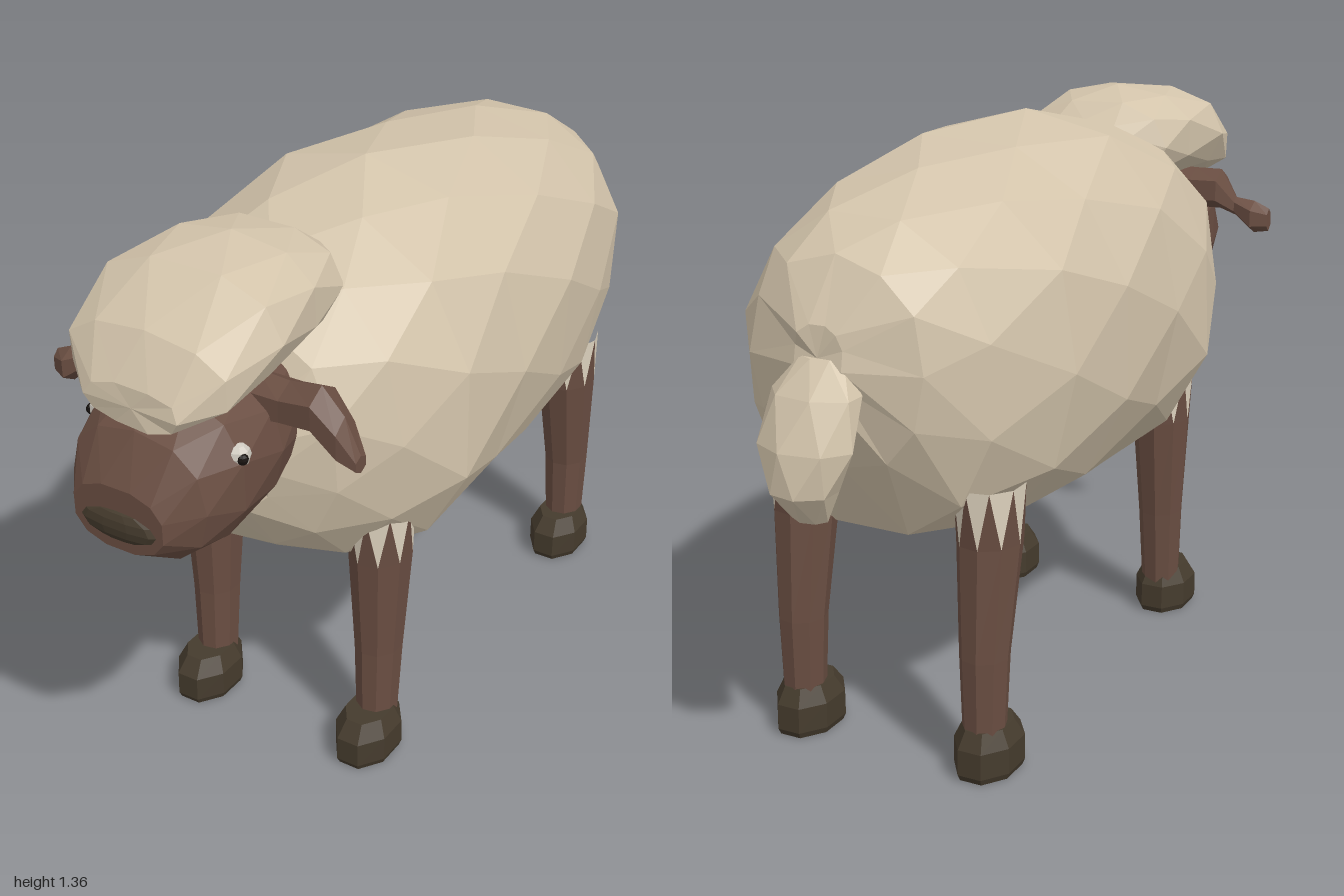
import * as THREE from 'three';

const paint = (name, color) => {
  const m = new THREE.MeshStandardMaterial({ color, flatShading: true });
  m.name = name;
  return m;
};

// Skin elliptical rings [z, cx, cy, rx, ry] along +z; power < 1 squares the rings,
// stagger turns every second ring by half a step, jitter roughens the radii.
function loft(rings, n, { power = 1, stagger = false, jitter = 0, caps = true } = {}) {
  let seed = 7;
  const rand = () => (seed = (seed * 16807) % 2147483647) / 2147483647 - 0.5;
  const soft = v => Math.sign(v) * Math.pow(Math.abs(v), power);
  const pts = rings.map(([z, cx, cy, rx, ry], i) =>
    Array.from({ length: n }, (_, j) => {
      const a = ((j + (stagger && i % 2 ? 0.5 : 0)) / n) * Math.PI * 2 + Math.PI / n;
      const k = 1 + rand() * jitter;
      return [cx + rx * k * soft(Math.cos(a)), cy + ry * k * soft(Math.sin(a)), z + rand() * jitter * 0.5];
    }));
  const out = [];
  const tri = (...p) => p.forEach(q => out.push(...q));
  for (let i = 0; i < rings.length - 1; i++) {
    const lo = pts[i], hi = pts[i + 1];
    for (let j = 0; j < n; j++) {
      const k = (j + 1) % n;
      if (stagger && i % 2 === 0) {
        tri(lo[j], lo[k], hi[j]);
        tri(lo[k], hi[k], hi[j]);
      } else {
        tri(lo[j], lo[k], hi[k]);
        tri(lo[j], hi[k], hi[j]);
      }
    }
  }
  if (caps) {
    const last = rings.length - 1;
    const mid = r => [r[1], r[2], r[0]];
    for (let j = 0; j < n; j++) {
      const k = (j + 1) % n;
      tri(mid(rings[0]), pts[0][k], pts[0][j]);
      tri(mid(rings[last]), pts[last][j], pts[last][k]);
    }
  }
  const g = new THREE.BufferGeometry();
  g.setAttribute('position', new THREE.Float32BufferAttribute(out, 3));
  g.computeVertexNormals();
  return g;
}

// Upright loft: rings [y, x, z, rx, rz]
const upright = (rings, n, opts) =>
  loft(rings.map(([y, x, z, rx, rz]) => [y, x, -z, rx, rz]), n, opts).rotateX(-Math.PI / 2);

// Sideways loft: rings [distance from middle, z, y, rz, ry]
const sideways = (rings, n, side) =>
  loft(rings.map(([x, z, y, rz, ry]) => [x, -side * z, y, rz, ry]), n).rotateY(side * Math.PI / 2);

export function createModel() {
  const wool = paint('wool', 0xd3c4ab);
  const skin = paint('brown skin', 0x6a4e42);
  const hoofMat = paint('dark hoof', 0x453b2d);
  const fringe = paint('pale fringe', 0xdacfbb);
  const eyeWhite = paint('eye white', 0xcfcac0);
  const pupilMat = paint('pupil', 0x17120f);

  const model = new THREE.Group();
  model.name = 'sheep';
  const add = (name, geometry, material, parent = model) => {
    const m = new THREE.Mesh(geometry, material);
    m.name = name;
    parent.add(m);
    return m;
  };

  // Woolly body, rump to chest
  add('body', loft([
    [-0.87, 0, 0.98, 0.06, 0.07],
    [-0.80, 0, 0.95, 0.21, 0.225],
    [-0.68, 0, 0.895, 0.305, 0.35],
    [-0.47, -0.01, 0.89, 0.38, 0.41],
    [-0.22, 0, 0.90, 0.405, 0.44],
    [0.05, 0, 0.91, 0.41, 0.455],
    [0.27, 0, 0.88, 0.405, 0.44],
    [0.44, -0.01, 0.89, 0.345, 0.375],
    [0.57, 0, 0.89, 0.25, 0.285],
    [0.65, 0, 0.87, 0.13, 0.13],
  ], 12, { power: 0.9, stagger: true, jitter: 0.04 }), wool);

  // Wool cap on the head
  add('woolCap', loft([
    [0.365, -0.01, 1.23, 0.13, 0.06],
    [0.42, -0.02, 1.225, 0.19, 0.11],
    [0.55, -0.02, 1.235, 0.215, 0.125],
    [0.71, -0.02, 1.225, 0.235, 0.12],
    [0.85, -0.02, 1.17, 0.205, 0.09],
    [0.92, -0.01, 1.12, 0.12, 0.045],
  ], 10, { power: 0.85, stagger: true, jitter: 0.03 }), wool);

  // Short hanging tail
  add('tail', upright([
    [0.65, 0, -0.91, 0.04, 0.03],
    [0.72, 0, -0.935, 0.075, 0.065],
    [0.81, 0, -0.92, 0.11, 0.07],
    [0.91, 0, -0.88, 0.105, 0.06],
    [0.98, 0, -0.85, 0.05, 0.03],
  ], 7, { stagger: true }), wool);

  // Head, mouth, eyes and ears
  const head = new THREE.Group();
  head.name = 'head';
  model.add(head);
  add('face', loft([
    [0.55, 0, 0.99, 0.16, 0.14],
    [0.70, 0, 0.975, 0.20, 0.165],
    [0.83, 0, 0.955, 0.20, 0.175],
    [0.92, -0.005, 0.925, 0.17, 0.145],
    [0.985, -0.01, 0.895, 0.115, 0.075],
  ], 12, { power: 0.85, stagger: true }), skin, head);
  const mouth = add('mouth', new THREE.SphereGeometry(1, 10, 6), hoofMat, head);
  mouth.scale.set(0.1, 0.036, 0.018);
  mouth.position.set(-0.01, 0.88, 0.982);

  for (const side of [-1, 1]) {
    const eye = add('eye', new THREE.SphereGeometry(0.027, 8, 6), eyeWhite, head);
    eye.position.set(side * 0.174, 1.02, 0.82);
    const pupil = add('pupil', new THREE.SphereGeometry(0.013, 8, 6), pupilMat, head);
    pupil.position.set(side * 0.191, 1.02, 0.83);
  }
  add('leftEar', sideways([
    [0.12, 0.67, 1.07, 0.055, 0.06],
    [0.20, 0.67, 1.075, 0.055, 0.05],
    [0.28, 0.675, 1.085, 0.055, 0.055],
    [0.34, 0.685, 1.035, 0.042, 0.055],
    [0.38, 0.69, 0.995, 0.022, 0.02],
  ], 6, 1), skin, head);
  add('rightEar', sideways([
    [0.12, 0.67, 1.08, 0.055, 0.06],
    [0.20, 0.67, 1.085, 0.055, 0.052],
    [0.27, 0.675, 1.085, 0.05, 0.052],
    [0.31, 0.685, 1.04, 0.02, 0.024],
    [0.36, 0.69, 1.015, 0.042, 0.042],
    [0.40, 0.69, 1.01, 0.018, 0.03],
  ], 6, -1), skin, head);

  // Legs with a zigzag wool fringe, and hooves
  const legs = {
    frontLeg: { top: 0.36, knee: 0.37, foot: 0.38, hoof: 0.418 },
    backLeg: { top: -0.595, knee: -0.622, foot: -0.625, hoof: -0.602 },
  };
  for (const [name, z] of Object.entries(legs)) {
    for (const side of [-1, 1]) {
      const x = side * 0.235 - 0.01;
      const leg = new THREE.Group();
      leg.name = (side > 0 ? 'left ' : 'right ') + name;
      model.add(leg);
      add('shank', upright([
        [0.08, x, z.foot, 0.048, 0.053],
        [0.28, x, z.knee, 0.056, 0.062],
        [0.54, x, z.top, 0.072, 0.084],
      ], 9), skin, leg);
      const cuff = upright([
        [0.54, x, z.top, 0.072, 0.084],
        [0.67, x, z.top, 0.076, 0.088],
      ], 9, { stagger: true, caps: false });
      for (let t = 0; t < 18; t++) cuff.addGroup(t * 3, 3, t % 2);
      add('fringe', cuff, [skin, fringe], leg);
      add('hoof', upright([
        [0, x, z.hoof, 0.068, 0.097],
        [0.015, x, z.hoof, 0.074, 0.105],
        [0.075, x, z.hoof, 0.074, 0.103],
        [0.115, x, z.hoof - 0.005, 0.054, 0.075],
      ], 8), hoofMat, leg);
    }
  }
  return model;
}
